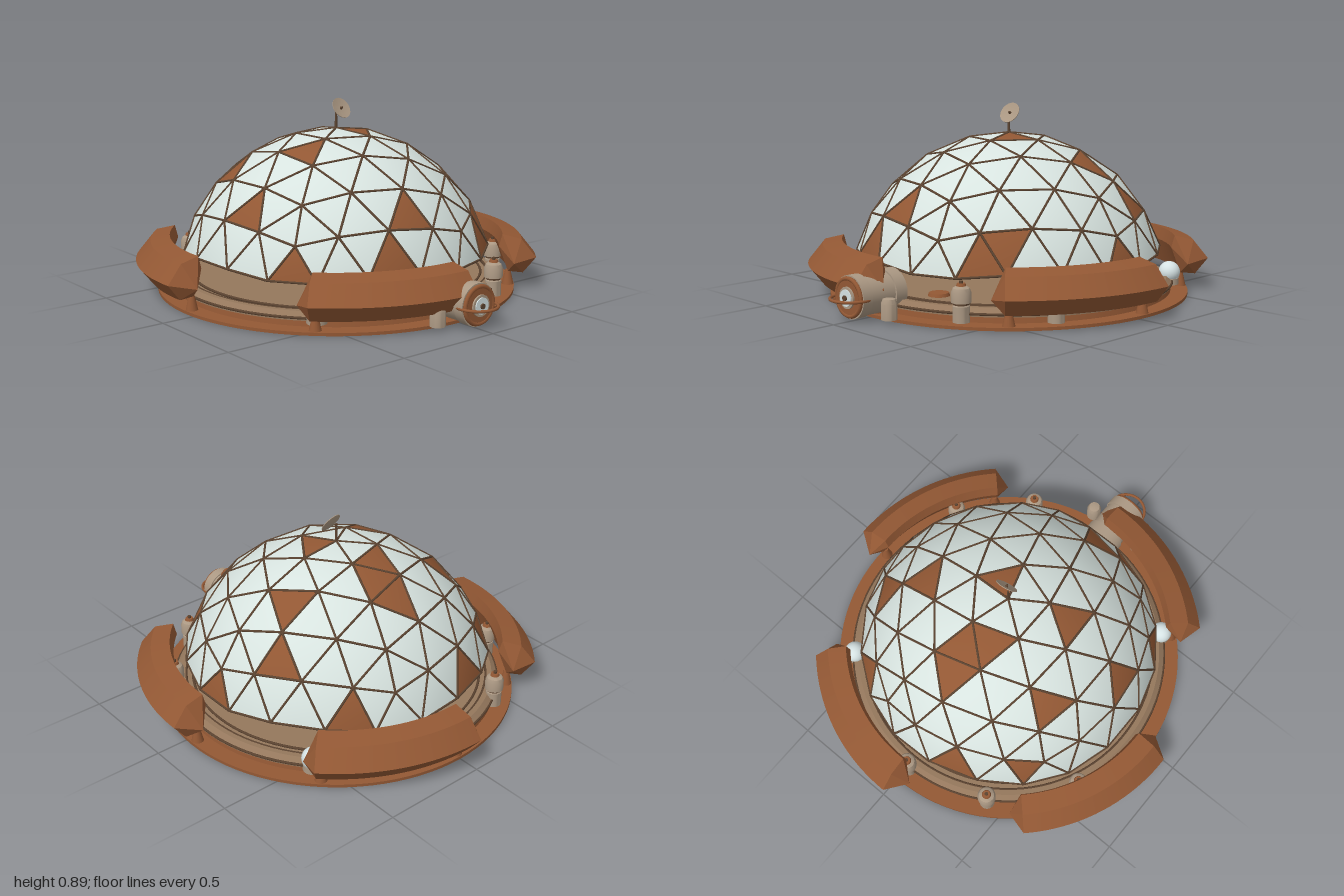
import * as THREE from 'three';
import { mergeGeometries, toCreasedNormals } from 'three/addons/utils/BufferGeometryUtils.js';

const mat = (name, color, extra = {}) => Object.assign(new THREE.MeshStandardMaterial({ color, ...extra }), { name });

export function createModel() {
  const rust = mat('rust brown', 0x935834);
  const tan = mat('tan', 0xab9883);
  const railTan = mat('rail tan', 0x94775c);
  const strut = mat('strut brown', 0x5c4431);
  const white = mat('pale white', 0xd6e3e4);
  const panel = mat('pale panel', 0xd8e4e0, { side: THREE.DoubleSide });
  const panelRust = mat('rust panel', 0x935834, { side: THREE.DoubleSide });

  const model = new THREE.Group();
  const station = new THREE.Group();
  station.name = 'station';
  station.position.z = -0.05;
  model.add(station);

  const add = (name, geo, material, x = 0, y = 0, z = 0, parent = station) => {
    const m = new THREE.Mesh(geo, material);
    m.name = name;
    m.position.set(x, y, z);
    parent.add(m);
    return m;
  };
  const rad = THREE.MathUtils.degToRad;
  // point on a ring, degrees counted from +x towards the back
  const ring = (r, deg, y = 0) => new THREE.Vector3(r * Math.cos(rad(deg)), y, -r * Math.sin(rad(deg)));
  const lathe = (pts, n = 64) =>
    toCreasedNormals(new THREE.LatheGeometry(pts.map(p => new THREE.Vector2(...p)), n), 0.6);

  // stepped base
  add('basePlate', new THREE.CylinderGeometry(0.85, 0.85, 0.014, 96), rust, 0, 0.007);
  add('baseStep', new THREE.CylinderGeometry(0.765, 0.77, 0.03, 96), rust, 0, 0.029);
  add('floor', new THREE.CylinderGeometry(0.72, 0.72, 0.02, 96), railTan, 0, 0.05);
  add('floorRail', lathe([[0.72, 0.04], [0.775, 0.04], [0.775, 0.055], [0.75, 0.075], [0.72, 0.075], [0.72, 0.04]], 96), railTan);
  for (const r of [0.69, 0.722, 0.776]) {
    add('floorSeam', new THREE.TorusGeometry(r, 0.006, 6, 96).rotateX(Math.PI / 2), strut, 0, r > 0.75 ? 0.052 : 0.072);
  }
  add('floorHatch', new THREE.CylinderGeometry(0.045, 0.05, 0.015, 24), rust, 0.09, 0.067, 0.53);

  // geodesic dome: subdivided icosahedron with one corner straight up
  const R = 0.75;
  const t = (1 + Math.sqrt(5)) / 2;
  const ico = new THREE.IcosahedronGeometry(R, 3).rotateZ(-Math.atan(1 / t));
  const p = ico.attributes.position;
  const faces = [];
  for (let i = 0; i < p.count; i += 3) {
    const v = [0, 1, 2].map(k => new THREE.Vector3().fromBufferAttribute(p, i + k));
    const c = v[0].clone().add(v[1]).add(v[2]).divideScalar(3);
    if (c.y > 0.177) faces.push({ v, c, rust: false });
  }
  // seeds (x, z) of the rust-coloured panels
  const seeds = [[-0.02, -0.41], [0.02, -0.3], [-0.06, -0.21], [-0.43, -0.25], [0.08, 0.06], [-0.28, 0.11],
    [-0.58, 0.12], [0.4, -0.14], [0.55, -0.26], [0.43, -0.6], [-0.27, -0.64], [-0.57, 0.36], [0.38, 0.56],
    [0.49, 0.47], [-0.08, 0.6], [-0.21, 0.65], [0.7, -0.05], [-0.52, -0.48]];
  for (const [x, z] of seeds) {
    let best = null, bd = Infinity;
    for (const f of faces) {
      const d = Math.hypot(f.c.x - x, f.c.z - z);
      if (d < bd) { bd = d; best = f; }
    }
    best.rust = true;
  }
  const skin = list => {
    const pts = list.flatMap(f => f.v);
    const g = new THREE.BufferGeometry().setFromPoints(pts);
    const normals = pts.flatMap(q => q.clone().normalize().toArray());
    g.setAttribute('normal', new THREE.Float32BufferAttribute(normals, 3));
    return g;
  };
  add('domePanels', skin(faces.filter(f => !f.rust)), panel);
  add('domeRustPanels', skin(faces.filter(f => f.rust)), panelRust);

  // struts along every panel edge
  const up = new THREE.Vector3(0, 1, 0);
  const seen = new Set(), bars = [];
  const key = q => q.toArray().map(n => Math.round(n * 1000) + 0).join();
  for (const { v } of faces) {
    for (let k = 0; k < 3; k++) {
      const a = v[k], b = v[(k + 1) % 3];
      const id = [key(a), key(b)].sort().join('|');
      if (seen.has(id)) continue;
      seen.add(id);
      const d = b.clone().sub(a);
      const g = new THREE.CylinderGeometry(0.0055, 0.0055, d.length(), 6);
      g.applyQuaternion(new THREE.Quaternion().setFromUnitVectors(up, d.clone().normalize()));
      const mid = a.clone().add(b).multiplyScalar(0.5);
      bars.push(g.translate(mid.x, mid.y, mid.z));
    }
  }
  add('domeStruts', mergeGeometries(bars), strut);

  // four curved shields with pointed ends
  const profile = [[0.89, 0.075], [0.95, 0.15], [0.88, 0.237], [0.79, 0.258], [0.775, 0.2], [0.82, 0.08]];
  const shield = (from, to, steps = 20) => {
    const pts = [], n = profile.length;
    const at = (i, s) => ring(profile[i % n][0], from + (to - from) * s / steps, profile[i % n][1]);
    for (let s = 0; s < steps; s++) {
      for (let i = 0; i < n; i++) {
        const a = at(i, s), b = at(i + 1, s), c = at(i + 1, s + 1), d = at(i, s + 1);
        pts.push(a, c, b, a, d, c);
      }
    }
    for (let i = 0; i < n; i++) {
      pts.push(ring(0.85, from - 4, 0.13), at(i, 0), at(i + 1, 0));
      pts.push(ring(0.85, to + 5, 0.13), at(i + 1, steps), at(i, steps));
    }
    const g = new THREE.BufferGeometry().setFromPoints(pts);
    g.computeVertexNormals();
    return toCreasedNormals(g, 0.2);
  };
  for (let k = 0; k < 4; k++) add('shield', shield(-46 + 90 * k, 1 + 90 * k), rust);

  // cone feet around the rim
  for (let k = 0; k < 8; k++) {
    const q = ring(0.82, 45 * k, 0.05);
    add('foot', new THREE.CylinderGeometry(0.012, 0.028, 0.07, 16), rust, q.x, q.y, q.z);
  }

  // capsule lamps in the gaps
  const lower = lathe([[0, 0.015], [0.037, 0.015], [0.037, 0.085], [0.03, 0.095], [0, 0.095]], 24);
  const upper = lathe([[0, 0.1], [0.043, 0.1], [0.043, 0.145], [0.036, 0.162], [0.02, 0.172], [0, 0.174]], 24);
  for (const deg of [-30, -60, 91, 122, 155]) {
    const q = ring(0.775, deg);
    add('lampBase', lower, tan, q.x, 0, q.z);
    add('lampBand', new THREE.CylinderGeometry(0.034, 0.034, 0.014, 24), strut, q.x, 0.097, q.z);
    add('lampHead', upper, tan, q.x, 0, q.z);
    add('lampCap', new THREE.CylinderGeometry(0.018, 0.022, 0.012, 20), rust, q.x, 0.176, q.z);
    add('lampPin', new THREE.CylinderGeometry(0.008, 0.008, 0.014, 10), strut, q.x, 0.186, q.z);
  }

  // white globes beside the shields
  for (const deg of [42, 225]) {
    const q = ring(0.765, deg, 0.088);
    add('globe', new THREE.SphereGeometry(0.051, 24, 16), white, q.x, q.y, q.z);
    add('globeCollar', new THREE.CylinderGeometry(0.045, 0.045, 0.03, 20), tan, q.x, 0.045, q.z);
  }

  // storage tank under the dome
  add('tank', lathe([[0, 0.06], [0.108, 0.06], [0.108, 0.165], [0.095, 0.19], [0.07, 0.2], [0, 0.2]], 32), tan, 0.3, 0, -0.29);

  // airlock at the front
  const airlock = new THREE.Group();
  airlock.name = 'airlock';
  airlock.position.set(0, 0.105, 0);
  model.add(airlock);
  const drum = (name, r, z0, z1, material) =>
    add(name, new THREE.CylinderGeometry(r, r, z1 - z0, 32).rotateX(Math.PI / 2), material, 0, 0, (z0 + z1) / 2, airlock);
  drum('airlockInnerCollar', 0.098, 0.67, 0.73, tan);
  drum('airlockTube', 0.09, 0.73, 0.87, tan);
  drum('airlockOuterCollar', 0.096, 0.86, 0.91, tan);
  drum('airlockDoor', 0.08, 0.91, 0.922, rust);
  drum('airlockWindowFrame', 0.048, 0.922, 0.93, tan);
  drum('airlockWindow', 0.037, 0.93, 0.935, white);
  drum('airlockHub', 0.012, 0.935, 0.942, strut);
  add('airlockRim', new THREE.TorusGeometry(0.082, 0.01, 8, 32), rust, 0, 0, 0.915, airlock);
  add('handRail', new THREE.TorusGeometry(0.093, 0.007, 8, 40).rotateX(Math.PI / 2), rust, 0, -0.005, 0.9, airlock);
  for (const s of [-1, 1]) {
    add('airlockPost', lathe([[0, 0.015], [0.035, 0.015], [0.035, 0.085], [0.027, 0.105], [0, 0.112]], 24), tan, s * 0.14, 0, 0.81, model);
  }

  // antenna on the top
  add('antennaMast', new THREE.CylinderGeometry(0.005, 0.007, 0.1, 8), strut, 0, 0.79, 0);
  const dish = new THREE.Group();
  dish.name = 'antennaDish';
  dish.position.set(0.02, 0.843, 0.012);
  dish.quaternion.setFromUnitVectors(up, new THREE.Vector3(0.1, 0.5, 0.8).normalize());
  station.add(dish);
  add('dishPlate', lathe([[0, -0.006], [0.03, -0.004], [0.052, 0.002], [0.052, 0.005], [0.03, 0.001], [0, 0]], 28), tan, 0, 0, 0, dish);
  add('dishFeed', new THREE.CylinderGeometry(0.004, 0.008, 0.012, 8), strut, 0, 0.006, 0, dish);
  return model;
}
